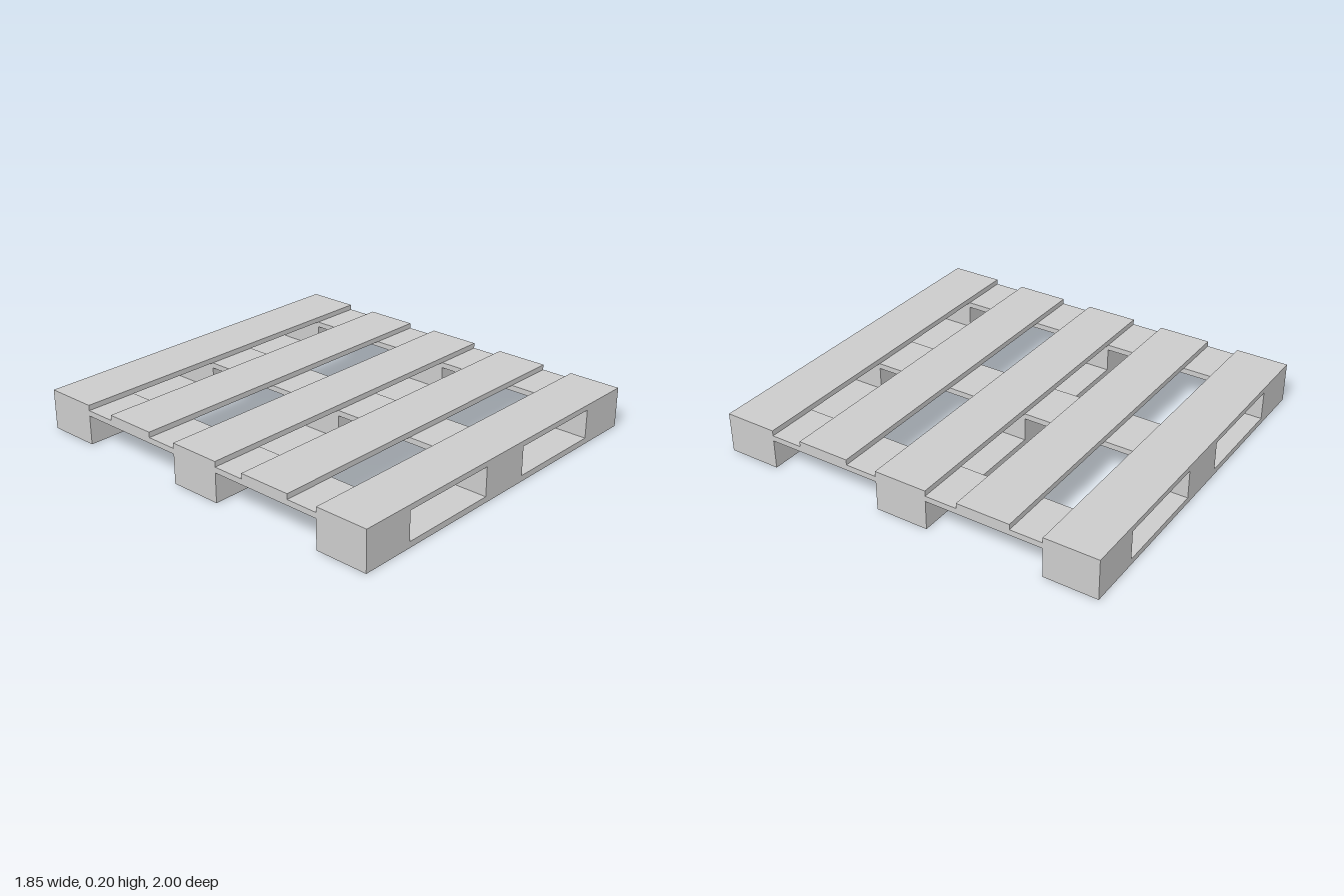
import * as THREE from 'three';

export function createModel() {
  const group = new THREE.Group();
  const material = new THREE.MeshStandardMaterial({ color: 0xcccccc, flatShading: true });

  const W = 1.85, L = 2, board = 0.27;
  // Layer heights from the ground up
  const bottomTop = 0.03, blockTop = 0.148, stringerTop = 0.176, deckTop = 0.203;
  const columns = [-0.79, 0, 0.79];
  const rows = [-0.865, 0, 0.865];
  const deckRows = [-0.865, -0.4325, 0, 0.4325, 0.865];

  function addBox(name, width, depth, y0, y1, x, z) {
    const mesh = new THREE.Mesh(new THREE.BoxGeometry(width, y1 - y0, depth), material);
    mesh.name = name;
    mesh.position.set(x, (y0 + y1) / 2, z);
    group.add(mesh);
  }

  // Bottom runners with three spacer blocks on each
  for (const z of rows) {
    addBox('bottomBoard', W, board, 0, bottomTop, 0, z);
    for (const x of columns) addBox('spacerBlock', board, board, bottomTop, blockTop, x, z);
  }

  // Stringer boards running front to back over the blocks
  for (const x of columns) addBox('stringerBoard', board, L, blockTop, stringerTop, x, 0);

  // Deck boards across the top
  for (const z of deckRows) addBox('deckBoard', W, board, stringerTop, deckTop, 0, z);

  return group;
}
